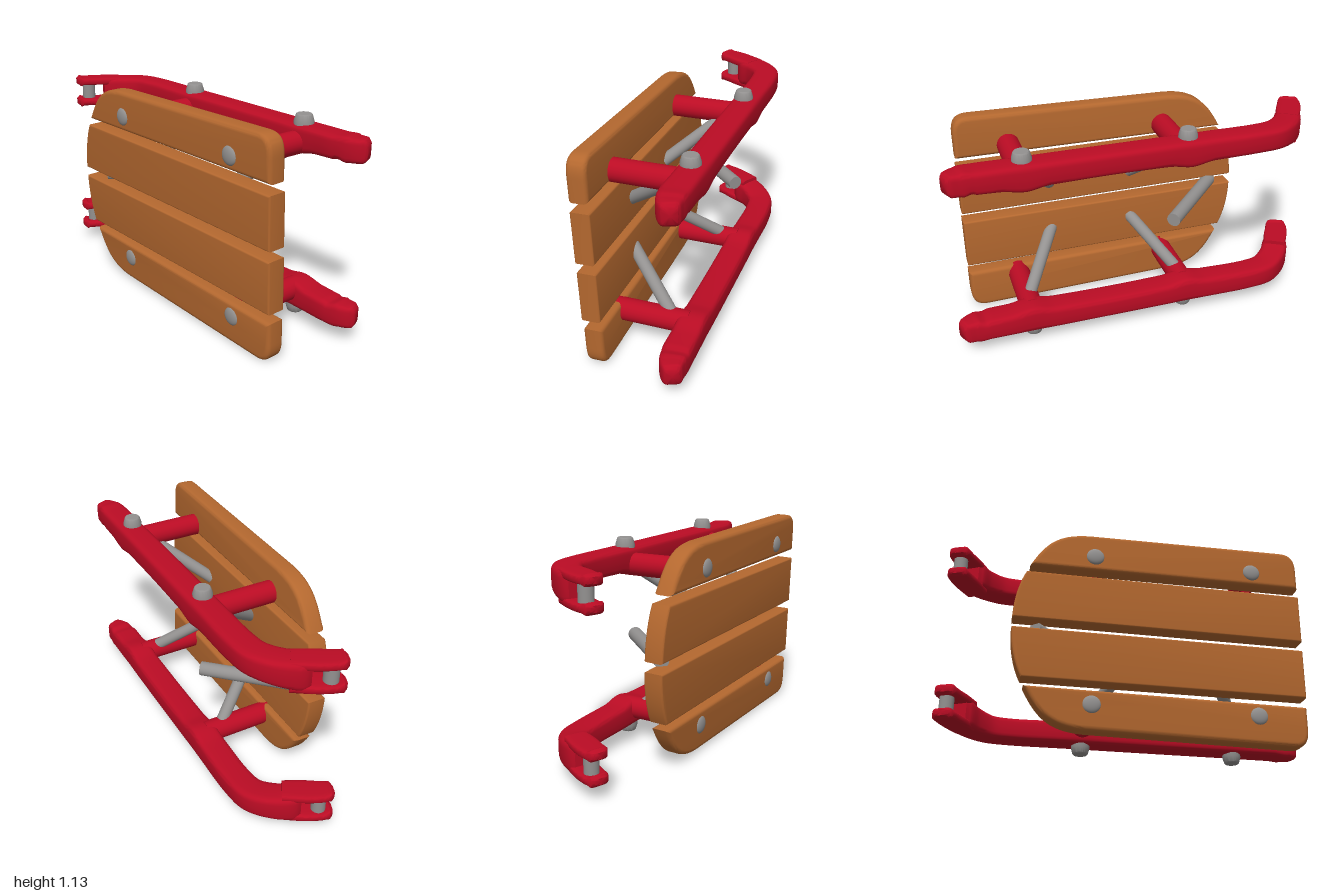
import * as THREE from 'three';
import { toCreasedNormals } from 'three/addons/utils/BufferGeometryUtils.js';

const MID = 0.5715; // height of the mirror plane between the two runners

export function createModel() {
  const wood = new THREE.MeshStandardMaterial({ name: 'wood', color: 0xb4682f });
  const red = new THREE.MeshStandardMaterial({ name: 'redPaint', color: 0xbb0c24 });
  const steel = new THREE.MeshStandardMaterial({ name: 'steel', color: 0x939190 });
  const model = new THREE.Group();
  model.name = 'sled';

  const add = (name, geometry, material) => {
    const mesh = new THREE.Mesh(geometry, material);
    mesh.name = name;
    model.add(mesh);
    return mesh;
  };

  // Round bar between two points
  const rod = (name, a, b, radius, material) => {
    const from = new THREE.Vector3(...a), to = new THREE.Vector3(...b);
    const dir = to.clone().sub(from);
    const mesh = add(name, new THREE.CylinderGeometry(radius, radius, dir.length(), 24), material);
    mesh.position.copy(from).add(to).multiplyScalar(0.5);
    mesh.quaternion.setFromUnitVectors(new THREE.Vector3(0, 1, 0), dir.normalize());
    return mesh;
  };

  // Rounded-rectangle sweep; stations are [x, z, halfWidth, yLow, yHigh]
  const sweep = (stations, side, perStation = 5, ringCount = 28) => {
    const path = new THREE.CatmullRomCurve3(stations.map(s => new THREE.Vector3(s[0], s[2], s[1])));
    const span = new THREE.CatmullRomCurve3(stations.map(s => new THREE.Vector3(s[3], s[4], 0)));
    const steps = (stations.length - 1) * perStation;
    const pos = [], index = [];
    const mirror = y => MID + side * (y - MID);
    for (let i = 0; i <= steps; i++) {
      const t = i / steps, p = path.getPoint(t), h = span.getPoint(t);
      const before = path.getPoint(Math.max(0, t - 0.01)), after = path.getPoint(Math.min(1, t + 0.01));
      const tx = after.x - before.x, tz = after.z - before.z, len = Math.hypot(tx, tz);
      const cy = mirror((h.x + h.y) / 2), hh = (h.y - h.x) / 2;
      for (let j = 0; j < ringCount; j++) {
        const a = (j / ringCount) * Math.PI * 2, c = Math.cos(a), s = Math.sin(a);
        const u = Math.sign(c) * Math.abs(c) ** 0.42 * p.y;
        const v = Math.sign(s) * Math.abs(s) ** 0.42 * hh;
        pos.push(p.x + (tz / len) * u, cy + v, p.z - (tx / len) * u);
      }
      if (i === 0 || i === steps) stations[i ? 'end' : 'start'] = [p.x, cy, p.z];
    }
    const first = pos.length / 3, last = (steps) * ringCount;
    pos.push(...stations.start, ...stations.end);
    for (let j = 0; j < ringCount; j++) {
      const k = (j + 1) % ringCount;
      for (let i = 0; i < steps; i++) {
        const r = i * ringCount, n = r + ringCount;
        index.push(r + j, r + k, n + j, r + k, n + k, n + j);
      }
      index.push(first, k, j, first + 1, last + j, last + k);
    }
    const g = new THREE.BufferGeometry();
    g.setAttribute('position', new THREE.Float32BufferAttribute(pos, 3));
    g.setIndex(index);
    return toCreasedNormals(g, 0.9);
  };

  // Plank outlines, drawn relative to the mirror plane and flipped for the lower half
  const plankShape = (kind, side, cy) => {
    const s = new THREE.Shape();
    const Y = y => MID + side * (y - MID) - cy;
    if (kind === 'outer') {
      s.moveTo(-0.57, Y(0.905));
      s.lineTo(0.9, Y(0.915));
      s.lineTo(0.9, Y(1.03));
      s.bezierCurveTo(0.9, Y(1.1), 0.88, Y(1.135), 0.81, Y(1.135));
      s.lineTo(-0.26, Y(1.118));
      s.bezierCurveTo(-0.42, Y(1.11), -0.49, Y(1.06), -0.57, Y(0.905));
    } else {
      s.moveTo(-0.645, Y(0.597));
      s.lineTo(0.9, Y(0.597));
      s.lineTo(0.9, Y(0.866));
      s.lineTo(-0.585, Y(0.866));
      s.bezierCurveTo(-0.62, Y(0.8), -0.645, Y(0.7), -0.645, Y(0.597));
    }
    return s;
  };

  const plank = (kind, side, cy, cz) => {
    const bevel = kind === 'outer' ? 0.022 : 0.01, depth = 0.1;
    const g = new THREE.ExtrudeGeometry(plankShape(kind, side, cy), {
      depth: depth - 2 * bevel, bevelThickness: bevel, bevelSize: bevel,
      bevelOffset: -bevel, bevelSegments: 4, curveSegments: 14,
    });
    g.translate(0, 0, bevel - depth / 2);
    const mesh = add(kind + 'Plank', toCreasedNormals(g, 0.6), wood);
    mesh.position.set(0, cy, cz);
    mesh.rotation.x = 0.03;
  };
  plank('outer', 1, 1.02, 0.228);
  plank('inner', 1, 0.7315, 0.218);
  plank('inner', -1, 0.4115, 0.207);
  plank('outer', -1, 0.123, 0.196);

  // Runner body with slight swellings at the two posts and a curved nose
  const runner = [
    [1.0, -0.25, 0.034, 0.955, 1.035], [0.985, -0.243, 0.047, 0.938, 1.053],
    [0.94, -0.227, 0.063, 0.935, 1.055], [0.86, -0.218, 0.073, 0.935, 1.055],
    [0.74, -0.218, 0.073, 0.93, 1.055], [0.625, -0.218, 0.073, 0.91, 1.055],
    [0.51, -0.218, 0.073, 0.93, 1.055], [0.2, -0.218, 0.073, 0.935, 1.055],
    [-0.11, -0.218, 0.073, 0.93, 1.055], [-0.225, -0.218, 0.073, 0.91, 1.055],
    [-0.34, -0.218, 0.073, 0.93, 1.055], [-0.6, -0.218, 0.073, 0.935, 1.055],
    [-0.72, -0.198, 0.074, 0.932, 1.055], [-0.815, -0.125, 0.073, 0.915, 1.053],
    [-0.865, -0.05, 0.069, 0.9, 1.053], [-0.88, -0.02, 0.05, 0.905, 1.048],
  ];
  // Fork prong at the nose
  const prong = (low, high) => [
    [-0.835, -0.1, 0.06, low, high], [-0.885, -0.015, 0.066, low, high],
    [-0.92, 0.045, 0.063, low, high], [-0.94, 0.09, 0.058, low, high],
    [-0.949, 0.112, 0.046, low, high], [-0.953, 0.123, 0.026, low + 0.005, high - 0.005],
  ];

  for (const side of [1, -1]) {
    const Y = y => MID + side * (y - MID);
    const plankFace = side > 0 ? 0.277 : 0.245;

    add('runner', sweep(runner, side), red);
    add('forkProngOuter', sweep(prong(1.013, 1.055), side), red);
    add('forkProngInner', sweep(prong(0.888, 0.93), side), red);
    rod('forkPin', [-0.932, Y(0.915), 0.055], [-0.932, Y(1.03), 0.055], 0.037, steel);

    for (const [x, boltX, strutStart, strutEnd] of [[-0.222, -0.23, -0.25, -0.03], [0.625, 0.635, 0.65, 0.42]]) {
      // Post from runner to plank
      rod('post', [x, Y(0.965), -0.2], [x, Y(0.965), 0.19], 0.059, red);

      // Diagonal brace from runner to inner plank
      rod('brace', [strutStart, Y(0.975), -0.15], [strutEnd, Y(0.71), 0.18], 0.033, steel);

      // Domed bolt head on the plank
      const dome = new THREE.SphereGeometry(0.048, 24, 8, 0, Math.PI * 2, 0, Math.PI / 2);
      dome.scale(1, 0.4, 1);
      dome.rotateX(Math.PI / 2);
      add('plankBolt', dome, steel).position.set(boltX, Y(0.985), plankFace - 0.003);

      // Tapered nut on the runner
      const profile = [[0, 0], [0.05, 0], [0.05, 0.025], [0.041, 0.055], [0.036, 0.06], [0, 0.06]];
      const nut = new THREE.LatheGeometry(profile.map(p => new THREE.Vector2(...p)), 24);
      if (side < 0) nut.rotateX(Math.PI);
      add('runnerNut', toCreasedNormals(nut, 0.5), steel).position.set(x, Y(1.042), -0.208);
    }
  }

  // Slanted bar behind the middle gap
  rod('rearBar', [-0.525, 0.572, 0.19], [-0.163, 0.572, -0.193], 0.037, steel);

  return model;
}
